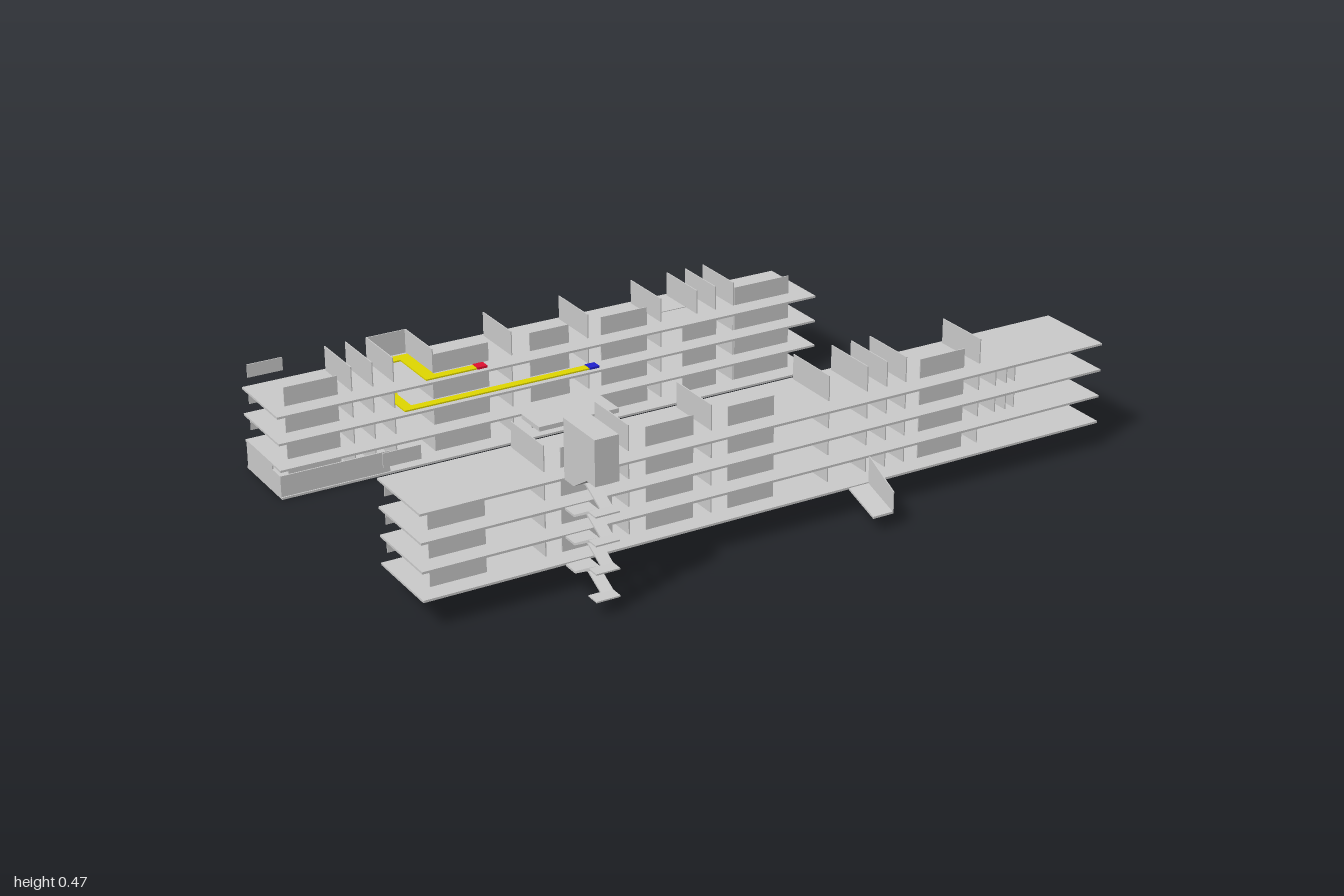
import * as THREE from 'three';

const grey = new THREE.MeshStandardMaterial({ color: 0xcccccc, flatShading: true, side: THREE.DoubleSide });
const paint = (color) => new THREE.MeshStandardMaterial({ color, flatShading: true, side: THREE.DoubleSide });
const yellow = paint(0xe0d800), red = paint(0xe01030), blue = paint(0x2020d0);

// Box given by its extents on each axis
function box(parent, name, [x0, x1], [y0, y1], [z0, z1], material = grey) {
  const mesh = new THREE.Mesh(new THREE.BoxGeometry(x1 - x0, y1 - y0, z1 - z0), material);
  mesh.position.set((x0 + x1) / 2, (y0 + y1) / 2, (z0 + z1) / 2);
  mesh.name = name;
  parent.add(mesh);
}

// Side outline of [z, y] points, extruded from x0 to x1
function sideProfile(parent, name, x0, x1, points, material = grey) {
  const shape = new THREE.Shape(points.map(([z, y]) => new THREE.Vector2(-z, y)));
  const geo = new THREE.ExtrudeGeometry(shape, { depth: x1 - x0, bevelEnabled: false });
  geo.rotateY(Math.PI / 2);
  const mesh = new THREE.Mesh(geo, material);
  mesh.position.x = x0;
  mesh.name = name;
  parent.add(mesh);
}

// Thin sloping or level plate along a [z, y] path
function ramp(parent, name, x0, x1, path, t = 0.004, material = grey) {
  const under = path.map(([z, y]) => [z, y - t]).reverse();
  sideProfile(parent, name, x0, x1, [...path, ...under], material);
}

// Stacked slabs with cross walls, corridor panels and door signs
function block(name, o) {
  const g = new THREE.Group();
  g.name = name;
  o.levels.forEach((y, i) => {
    const top = i === o.levels.length - 1;
    box(g, 'floorSlab', o.x, [y - 0.003, y + 0.003], o.z);
    const walls = top ? o.walls : [...o.walls, ...(i > 0 ? o.innerWalls : [])];
    for (const x of walls) box(g, 'crossWall', [x - 0.0015, x + 0.0015], [y + 0.003, y + 0.072], o.wallZ);
    const panels = top ? o.roofPanels : o.panels;
    for (const p of panels) box(g, 'corridorPanel', p, [y + 0.003, y + 0.056], [o.wallZ[1] - 0.003, o.wallZ[1]]);
    box(g, 'doorSign', [-0.985, -0.885], [y + 0.028, y + 0.065], [o.z[0] + 0.003, o.z[0] + 0.006]);
  });
  return g;
}

export function createModel() {
  const model = new THREE.Group();

  // Front block, raised above the ground
  const front = block('frontBlock', {
    x: [-1, 1], z: [0.225, 0.455], wallZ: [0.235, 0.4],
    levels: [0.08, 0.155, 0.23, 0.305],
    walls: [-0.645, -0.413, -0.178, 0.17, 0.287, 0.347, 0.406, 0.64],
    innerWalls: [0.695, 0.73, 0.757],
    panels: [[-0.955, -0.805], [-0.6, -0.46], [-0.365, -0.23], [-0.13, 0.005], [0.45, 0.59]],
    roofPanels: [[-0.6, -0.46], [-0.365, -0.23], [-0.13, 0.005], [0.45, 0.59]],
  });
  model.add(front);

  // Rear block, standing on the ground
  const rear = block('rearBlock', {
    x: [-1, 0.645], z: [-0.61, -0.38], wallZ: [-0.6, -0.436],
    levels: [0.003, 0.08, 0.155, 0.23],
    walls: [-0.765, -0.705, -0.645, -0.53, -0.295, -0.06, 0.17, 0.287, 0.347, 0.406],
    innerWalls: [],
    panels: [[-0.955, -0.805], [-0.53, -0.365], [-0.24, -0.12], [-0.02, 0.125], [0.24, 0.35], [0.41, 0.59]],
    roofPanels: [[-0.955, -0.805], [-0.53, -0.365], [-0.24, -0.12], [-0.02, 0.125], [0.41, 0.59]],
  });
  model.add(rear);

  // Entrance canopy and enclosed ground floor end
  box(rear, 'entranceCanopy', [-0.3, -0.055], [0.07, 0.083], [-0.38, -0.278]);
  box(rear, 'groundEndWall', [-1, -0.996], [0.006, 0.077], [-0.605, -0.436]);
  box(rear, 'groundEndWall', [-1, -0.996], [0.006, 0.065], [-0.436, -0.384]);
  box(rear, 'groundFrontWall', [-1, -0.69], [0.006, 0.065], [-0.388, -0.384]);
  box(rear, 'stairBackWall', [-0.645, -0.53], [0.006, 0.3], [-0.604, -0.601]);
  box(rear, 'storeWall', [0.17, 0.287], [0.233, 0.235], [-0.497, -0.494]);

  // Outdoor stair tower with a cabin on top
  const tower = new THREE.Group();
  tower.name = 'stairTower';
  model.add(tower);
  sideProfile(tower, 'stairCabin', -0.62, -0.555,
    [[0.455, 0.465], [0.605, 0.465], [0.605, 0.345], [0.565, 0.345], [0.5, 0.305], [0.455, 0.305]]);
  for (const y of [0.305, 0.23, 0.155]) {
    ramp(tower, 'upperFlight', -0.588, -0.555, [[0.455, y], [0.5, y], [0.57, y - 0.037]], 0.006);
    ramp(tower, 'halfLanding', -0.62, -0.555, [[0.57, y - 0.037], [0.605, y - 0.037]]);
    ramp(tower, 'lowerFlight', -0.62, -0.588, [[0.57, y - 0.037], [0.5, y - 0.075], [0.455, y - 0.075]], 0.006);
  }
  ramp(tower, 'bottomFlight', -0.588, -0.555, [[0.455, 0.08], [0.5, 0.08], [0.57, 0.045]], 0.006);
  ramp(tower, 'bottomLanding', -0.62, -0.555, [[0.565, 0.045], [0.605, 0.045]]);

  // Small side stair with a sloping parapet
  const side = new THREE.Group();
  side.name = 'sideStair';
  model.add(side);
  ramp(side, 'flight', 0.2, 0.262, [[0.455, 0.08], [0.565, 0.045]], 0.006);
  sideProfile(side, 'parapet', 0.259, 0.262, [[0.455, 0.155], [0.565, 0.1], [0.565, 0.045], [0.455, 0.08]]);

  // Coloured route from the rear block's third floor to its top floor
  const route = new THREE.Group();
  route.name = 'route';
  model.add(route);
  box(route, 'lowerPath', [-0.57, -0.08], [0.159, 0.163], [-0.42, -0.395], yellow);
  box(route, 'lowerApproach', [-0.635, -0.605], [0.159, 0.163], [-0.5, -0.395], yellow);
  box(route, 'lowerLink', [-0.635, -0.57], [0.159, 0.163], [-0.42, -0.395], yellow);
  ramp(route, 'climbingPath', -0.635, -0.605, [[-0.5, 0.162], [-0.565, 0.237]], 0.004, yellow);
  box(route, 'topTurn', [-0.635, -0.535], [0.234, 0.238], [-0.582, -0.55], yellow);
  box(route, 'topAisle', [-0.57, -0.535], [0.234, 0.238], [-0.55, -0.395], yellow);
  box(route, 'topPath', [-0.535, -0.42], [0.234, 0.238], [-0.42, -0.395], yellow);
  box(route, 'goalMarker', [-0.42, -0.39], [0.234, 0.24], [-0.422, -0.393], red);
  box(route, 'startMarker', [-0.08, -0.05], [0.159, 0.165], [-0.422, -0.393], blue);

  return model;
}
